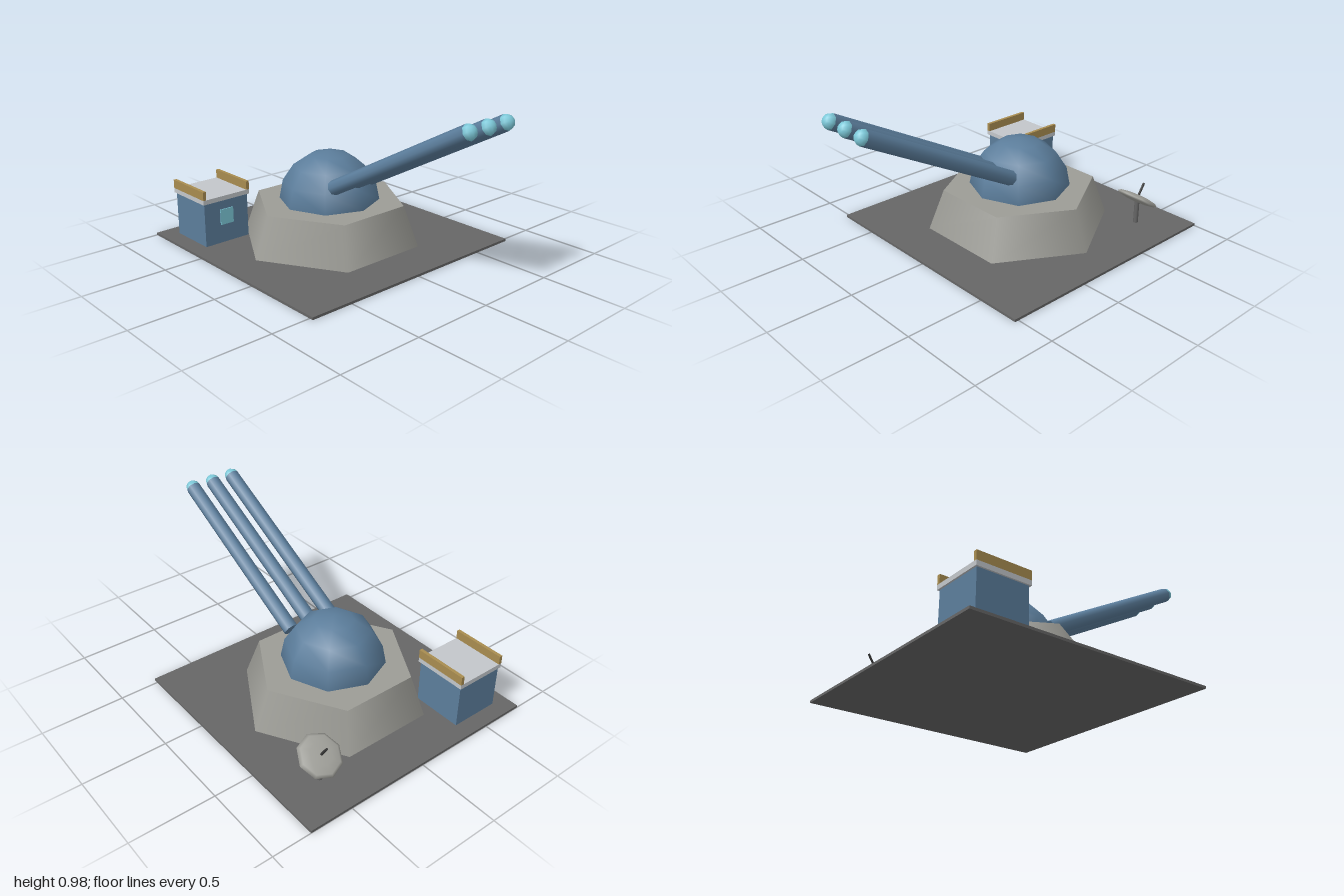
import * as THREE from 'three';

const mat = (name, color) => {
  const m = new THREE.MeshStandardMaterial({ color });
  m.name = name;
  return m;
};

export function createModel() {
  const group = new THREE.Group();
  const darkGrey = mat('darkGrey', 0x666666);
  const concrete = mat('concrete', 0x9c9c96);
  const steelBlue = mat('steelBlue', 0x5b7d9b);
  const cyan = mat('cyan', 0x7cc8d8);
  const paleGrey = mat('paleGrey', 0xc2c6ca);
  const tan = mat('tan', 0xa88c50);
  const dishGrey = mat('dishGrey', 0xa2a29c);
  const charcoal = mat('charcoal', 0x383838);

  const add = (name, geometry, material, x, y, z, parent = group) => {
    const mesh = new THREE.Mesh(geometry, material);
    mesh.name = name;
    mesh.position.set(x, y, z);
    parent.add(mesh);
    return mesh;
  };
  const box = (w, h, d) => new THREE.BoxGeometry(w, h, d);

  // Ground slab, six-sided plinth and dome
  const cz = -0.238;
  add('groundSlab', box(1.53, 0.015, 1.525), darkGrey, 0, 0.0075, cz);
  const plinth = add('plinth', new THREE.CylinderGeometry(0.468, 0.56, 0.247, 6), concrete, 0, 0.1385, cz);
  plinth.rotation.y = Math.PI / 2;
  add('dome', new THREE.SphereGeometry(0.305, 8, 4, 0, Math.PI * 2, 0, Math.PI / 2), steelBlue, 0, 0.26, cz);

  // Three raised barrels with glowing tips
  const rear = new THREE.Vector3(0, 0.413, -0.029);
  const tip = new THREE.Vector3(0, 0.94, 0.956);
  const along = tip.clone().sub(rear);
  const mid = rear.clone().add(tip).multiplyScalar(0.5);
  for (const x of [-0.142, 0, 0.142]) {
    const barrel = new THREE.Group();
    barrel.name = 'barrel';
    barrel.position.set(x, mid.y, mid.z);
    barrel.quaternion.setFromUnitVectors(new THREE.Vector3(0, 1, 0), along.clone().normalize());
    group.add(barrel);
    add('barrelTube', new THREE.CylinderGeometry(0.045, 0.045, along.length(), 8), steelBlue, 0, 0, 0, barrel);
    add('barrelTip', new THREE.SphereGeometry(0.045, 8, 6), cyan, 0, along.length() / 2, 0, barrel);
  }

  // Control hut with roof, side parapets and front window
  const hut = new THREE.Group();
  hut.name = 'controlHut';
  hut.position.set(-0.511, 0, -0.747);
  group.add(hut);
  add('hutWalls', box(0.306, 0.269, 0.306), steelBlue, 0, 0.1495, 0, hut);
  add('hutRoof', box(0.326, 0.028, 0.326), paleGrey, 0, 0.298, 0, hut);
  for (const s of [-1, 1]) add('parapet', box(0.02, 0.053, 0.326), tan, s * 0.153, 0.3385, 0, hut);
  add('window', box(0.09, 0.097, 0.008), cyan, 0, 0.178, 0.155, hut);

  // Tilted dish on a mast
  add('dishMast', new THREE.CylinderGeometry(0.015, 0.015, 0.155, 8), darkGrey, 0.508, 0.0925, -0.747);
  const dish = new THREE.Group();
  dish.name = 'dish';
  dish.position.set(0.508, 0.177, -0.747);
  dish.rotation.x = -0.575;
  group.add(dish);
  add('dishBowl', new THREE.SphereGeometry(0.13, 8, 6).scale(1, 0.18, 1), dishGrey, 0, 0, 0, dish);
  add('dishFeed', new THREE.CylinderGeometry(0.007, 0.007, 0.1, 6), charcoal, 0, 0.052, 0, dish);

  return group;
}
